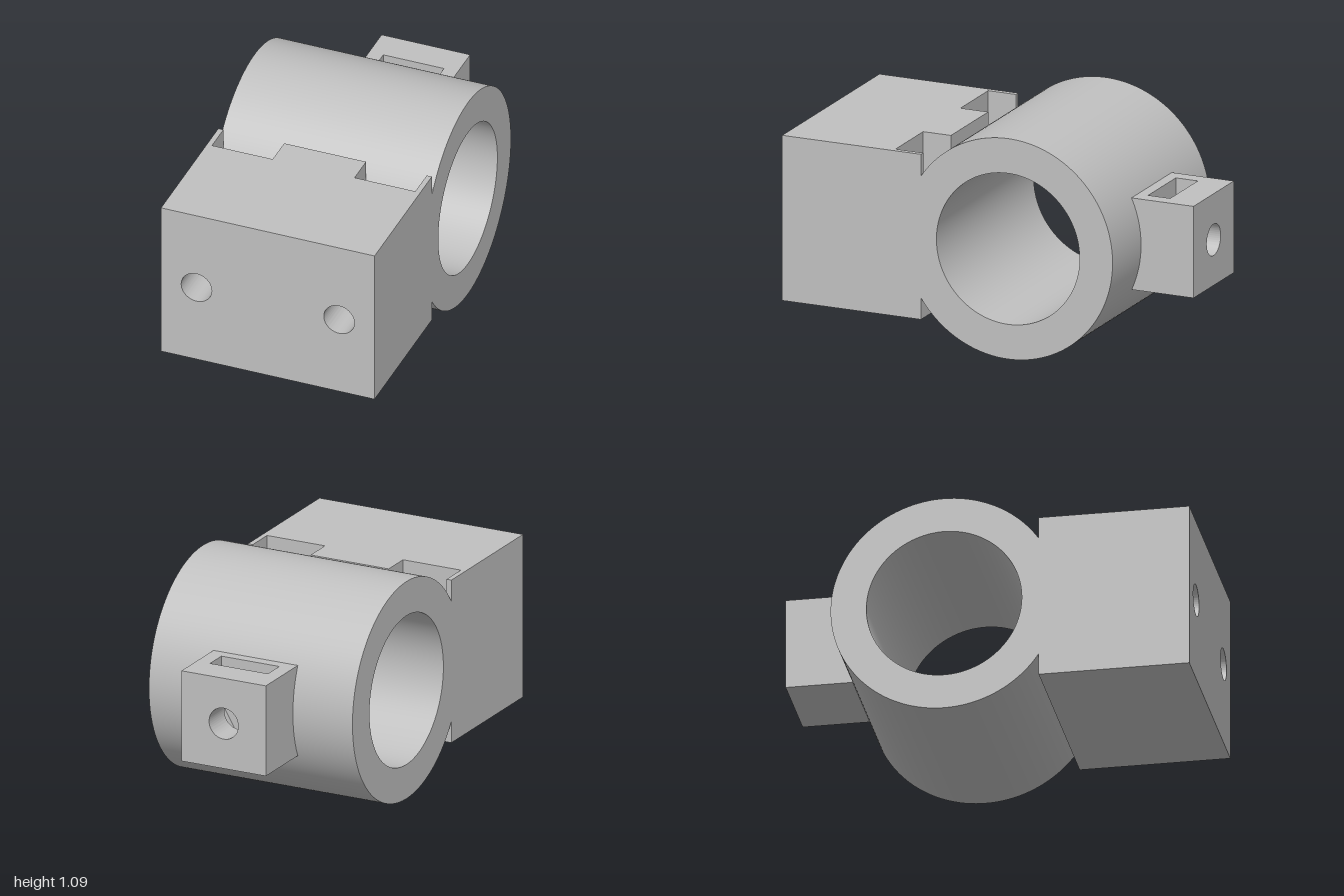
import * as THREE from 'three';
import { toCreasedNormals } from 'three/addons/utils/BufferGeometryUtils.js';

const AXIS_Y = 0.546;   // height of the bore and of every bolt
const HALF_W = 0.545;   // half width of clamp body
const BOLT_R = 0.078;
const NUT_R = 0.155;    // nut pocket, centre to corner

// Rectangle outline with round bolt holes at the given x positions
function drilledPlate(halfW, y0, y1, holeXs) {
  const s = new THREE.Shape();
  s.moveTo(-halfW, y0).lineTo(halfW, y0).lineTo(halfW, y1).lineTo(-halfW, y1).closePath();
  for (const x of holeXs) {
    s.holes.push(new THREE.Path().absarc(x, AXIS_Y, BOLT_R, 0, Math.PI * 2, true));
  }
  return s;
}

// Rectangle outline with nut pockets open at the top and half-hexagon floors
function slottedPlate(halfW, y0, y1, slotXs) {
  const s = new THREE.Shape();
  const floor = AXIS_Y - NUT_R * Math.sin(Math.PI / 3);
  s.moveTo(-halfW, y0).lineTo(halfW, y0).lineTo(halfW, y1);
  for (const x of [...slotXs].sort((a, b) => b - a)) {
    s.lineTo(x + NUT_R, y1).lineTo(x + NUT_R, AXIS_Y).lineTo(x + NUT_R / 2, floor);
    s.lineTo(x - NUT_R / 2, floor).lineTo(x - NUT_R, AXIS_Y).lineTo(x - NUT_R, y1);
  }
  s.lineTo(-halfW, y1).closePath();
  return s;
}

function extrude(shape, depth) {
  const geo = new THREE.ExtrudeGeometry(shape, { depth, bevelEnabled: false, curveSegments: 72 });
  return toCreasedNormals(geo, 0.5);
}

export function createModel() {
  const model = new THREE.Group();
  const grey = new THREE.MeshStandardMaterial({ color: 0xc0c0c0 });
  grey.name = 'grey';

  const add = (name, geo) => {
    const mesh = new THREE.Mesh(geo, grey);
    mesh.name = name;
    model.add(mesh);
  };
  const slab = (name, shape, z0, z1) => add(name, extrude(shape, z1 - z0).translate(0, 0, z0));

  // Clamp ring along x, cut flat where it meets the front block
  const R = 0.546, bore = 0.374, ringZ = -0.18, cutZ = 0.275;
  const a = Math.PI - Math.acos((cutZ - ringZ) / R);
  const ring = new THREE.Shape().absarc(-ringZ, AXIS_Y, R, -a, a, false);
  ring.closePath();
  ring.holes.push(new THREE.Path().absarc(-ringZ, AXIS_Y, bore, 0, Math.PI * 2, true));
  add('clampRing', extrude(ring, HALF_W * 2).rotateY(Math.PI / 2).translate(-HALF_W, 0, 0));

  // Front mounting block: drilled front, nut pockets behind
  const bolts = [-0.364, 0.364];
  slab('mountingBlock', drilledPlate(HALF_W, 0.137, 0.955, bolts), 0.42, 1);
  slab('mountingNutPockets', slottedPlate(HALF_W, 0.137, 0.955, bolts), cutZ, 0.42);

  // Rear lug: drilled back, one nut pocket, root buried in the ring
  slab('lugBlock', drilledPlate(0.226, 0.32, 0.774, [0]), -1, -0.845);
  slab('lugNutPocket', slottedPlate(0.226, 0.32, 0.774, [0]), -0.845, -0.73);
  slab('lugRoot', drilledPlate(0.226, 0.32, 0.774, []), -0.73, -0.6);

  return model;
}
